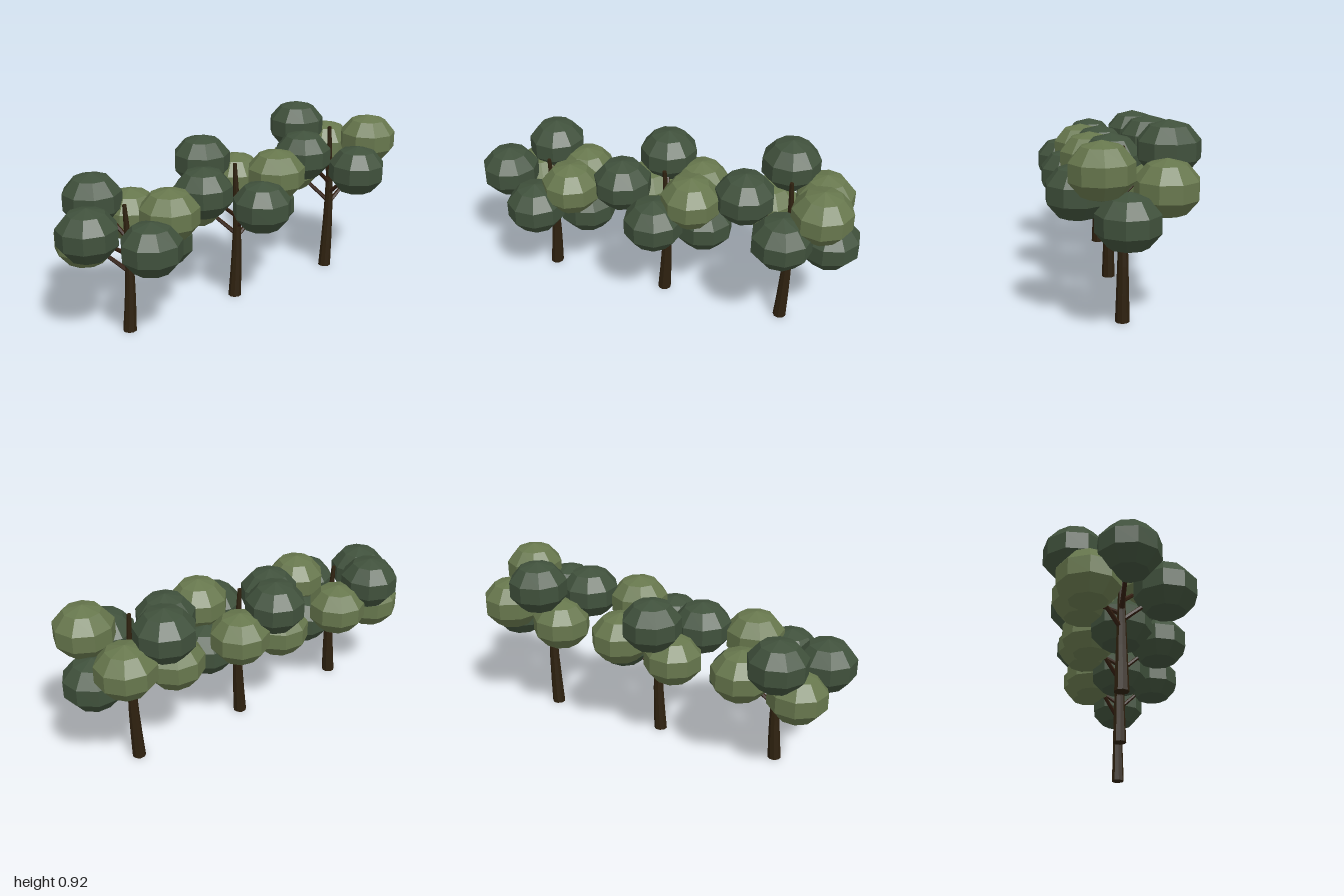
import * as THREE from 'three';

const mat = (name, color) =>
  new THREE.MeshStandardMaterial({ name, color, flatShading: true });

// Foliage clumps: offset from the trunk, height on the tallest tree, colour,
// and the height at which the supporting branch leaves the trunk
const CLUMPS = [
  { x: -0.215, y: 0.70, z: 0.03, tone: 'dark', fork: 0.49 },
  { x: -0.055, y: 0.785, z: -0.21, tone: 'dark', fork: 0.60 },
  { x: 0.135, y: 0.65, z: -0.175, tone: 'light', fork: 0.47 },
  { x: 0.21, y: 0.525, z: 0.0, tone: 'dark', fork: 0.37 },
  { x: 0.177, y: 0.74, z: 0.11, tone: 'light', fork: 0.55 },
  { x: 0.017, y: 0.615, z: 0.2, tone: 'dark', fork: 0.43 },
  { x: -0.14, y: 0.575, z: -0.145, tone: 'light', fork: 0.38 },
];

// Three trees in a row, rising in height
const TREES = [
  { name: 'shortTree', x: -0.635, scale: 0.81 },
  { name: 'middleTree', x: 0.008, scale: 0.9 },
  { name: 'tallTree', x: 0.647, scale: 1 },
];

const TRUNK_HEIGHT = 0.81;
const bend = (t) => 0.014 * Math.sin(Math.PI * t);

// Tapered trunk, bowed slightly sideways
function trunkGeometry(height) {
  const geo = new THREE.CylinderGeometry(0.01, 0.034, height, 9, 6);
  geo.translate(0, height / 2, 0);
  const p = geo.attributes.position;
  for (let i = 0; i < p.count; i++) p.setX(i, p.getX(i) + bend(p.getY(i) / height));
  geo.computeVertexNormals();
  return geo;
}

// Tapered limb running between two points
function limb(from, to, material) {
  const dir = to.clone().sub(from);
  const geo = new THREE.CylinderGeometry(0.007, 0.012, dir.length(), 6);
  const mesh = new THREE.Mesh(geo, material);
  mesh.position.copy(from).add(to).multiplyScalar(0.5);
  mesh.quaternion.setFromUnitVectors(new THREE.Vector3(0, 1, 0), dir.normalize());
  mesh.name = 'branch';
  return mesh;
}

export function createModel() {
  const bark = mat('bark', 0x2e210f);
  const branchBark = mat('branchBark', 0x331e10);
  const leaves = {
    dark: mat('darkLeaves', 0x40513c),
    light: mat('lightLeaves', 0x67774d),
  };
  // Faceted, slightly flattened ball of leaves
  const clumpGeo = new THREE.SphereGeometry(1, 9, 5);
  clumpGeo.scale(0.153, 0.132, 0.153);

  const model = new THREE.Group();
  model.name = 'treeRow';

  TREES.forEach(({ name, x, scale }) => {
    const tree = new THREE.Group();
    tree.name = name;
    tree.position.x = x;

    const trunk = new THREE.Mesh(trunkGeometry(TRUNK_HEIGHT * scale), bark);
    trunk.name = 'trunk';
    tree.add(trunk);

    CLUMPS.forEach((c, i) => {
      const center = new THREE.Vector3(c.x, c.y * scale, c.z);
      const fork = new THREE.Vector3(bend(c.fork / TRUNK_HEIGHT), c.fork * scale, 0);
      tree.add(limb(fork, center, branchBark));

      const clump = new THREE.Mesh(clumpGeo, leaves[c.tone]);
      clump.name = 'foliage';
      clump.position.copy(center);
      clump.rotation.y = i * 0.9 + 0.25;
      tree.add(clump);
    });
    model.add(tree);
  });

  return model;
}
